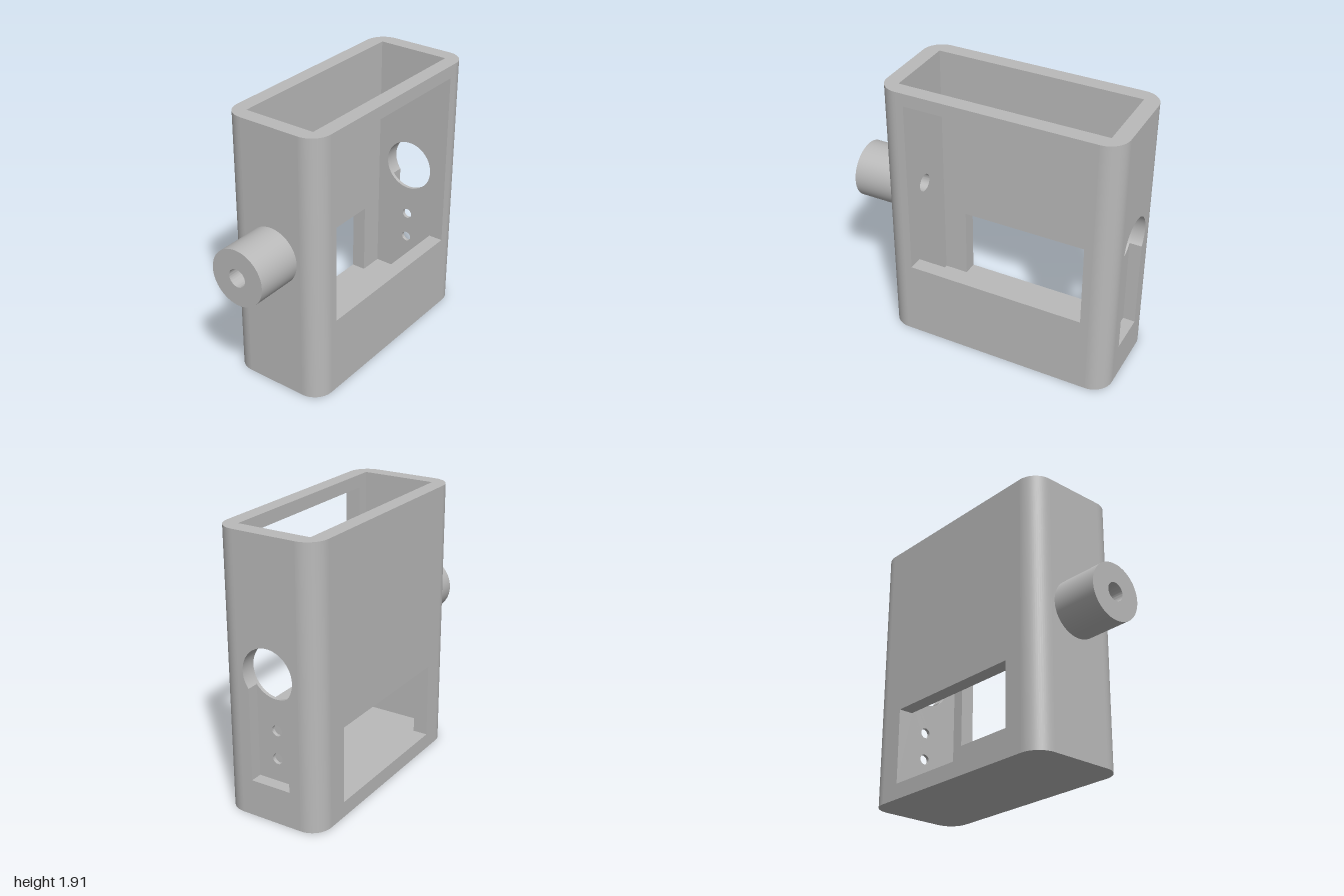
import * as THREE from 'three';
import { toCreasedNormals } from 'three/addons/utils/BufferGeometryUtils.js';

// Overall case and its cavity
const X0 = -0.665, X1 = 1, Z = 0.365, H = 1.915, R = 0.14;
const CX0 = -0.56, CX1 = 0.89, CZ = 0.26, FLOOR = 0.11;
// Height of the tube and the round opening facing it
const AXIS = 1.015;

function rect(x0, y0, x1, y1) {
  return [[x0, y0], [x1, y0], [x1, y1], [x0, y1]].map(([x, y]) => new THREE.Vector2(x, y));
}

function circle(x, y, r) {
  return new THREE.Path().absarc(x, y, r, 0, Math.PI * 2, false);
}

function extrude(shape, depth) {
  const geo = new THREE.ExtrudeGeometry(shape, { depth, bevelEnabled: false, curveSegments: 32 });
  return toCreasedNormals(geo, Math.PI / 6);
}

function panel(outline, holes, depth) {
  const shape = new THREE.Shape(outline);
  shape.holes.push(...holes);
  return extrude(shape, depth);
}

// Rounded corner post, wrapped around one corner of the cavity
function cornerPost(sx, sz) {
  const cx = sx > 0 ? X1 - R : X0 + R;
  const inner = sx > 0 ? CX1 : CX0;
  const cz = Z - R;
  const pts = [];
  for (let i = 0; i <= 16; i++) {
    const a = (i / 16) * Math.PI / 2;
    pts.push(new THREE.Vector2(cx + sx * R * Math.cos(a), sz * (cz + R * Math.sin(a))));
  }
  pts.push(new THREE.Vector2(cx, sz * CZ), new THREE.Vector2(inner, sz * CZ), new THREE.Vector2(inner, sz * cz));
  return extrude(new THREE.Shape(pts), H).rotateX(-Math.PI / 2);
}

// Round opening with a straight slot running down from it
function keyhole(r, w, bottom) {
  const h = Math.sqrt(r * r - w * w);
  const path = new THREE.Path();
  path.moveTo(-w, bottom);
  path.lineTo(w, bottom);
  path.lineTo(w, AXIS - h);
  path.absarc(0, AXIS, r, Math.atan2(-h, w), Math.atan2(-h, -w) + Math.PI * 2, false);
  path.closePath();
  return path;
}

export function createModel() {
  const model = new THREE.Group();
  model.name = 'slottedCase';
  const grey = new THREE.MeshStandardMaterial({ color: 0xbababa });
  grey.name = 'grey';

  function add(name, geo, x = 0, y = 0, z = 0) {
    const mesh = new THREE.Mesh(geo, grey);
    mesh.name = name;
    mesh.position.set(x, y, z);
    model.add(mesh);
  }

  // Front and back walls with their windows
  const face = rect(X0 + R, 0, X1 - R, H);
  const frontWindow = new THREE.Path(rect(-0.47, 0.555, 0.8, 1.825));
  const backWindow = new THREE.Path(rect(-0.385, FLOOR, 0.71, 0.645));
  add('frontWall', panel(face, [frontWindow], Z - CZ), 0, 0, CZ);
  add('backWall', panel(face, [backWindow], Z - CZ), 0, 0, -Z);

  // Left wall: outer layer with the keyhole recess, thin inner layer with screw holes
  const side = rect(-(Z - R), 0, Z - R, H);
  const recess = 0.085, split = X1 - recess;
  const turn = Math.PI / 2;
  add('keyholeWall', panel(side, [keyhole(0.185, 0.145, 0.255)], recess).rotateY(turn), split);
  const innerHoles = [circle(0, AXIS, 0.185), circle(0, 0.612, 0.037), circle(0, 0.413, 0.037)];
  add('screwPlate', panel(side, innerHoles, split - CX1).rotateY(turn), CX1);

  // Right wall and the hollow tube standing out from it
  add('tubeWall', panel(side, [circle(0, AXIS, 0.064)], CX0 - X0).rotateY(turn), X0);
  const ring = new THREE.Shape().absarc(0, 0, 0.2, 0, Math.PI * 2, false);
  ring.holes.push(circle(0, 0, 0.064));
  add('tube', extrude(ring, X0 + 1).rotateY(turn), -1, AXIS);

  // Corner posts
  for (const sx of [-1, 1]) {
    for (const sz of [-1, 1]) add('cornerPost', cornerPost(sx, sz));
  }

  // Floor
  add('floor', new THREE.BoxGeometry(CX1 - CX0, FLOOR, CZ * 2), (CX0 + CX1) / 2, FLOOR / 2, 0);

  return model;
}
